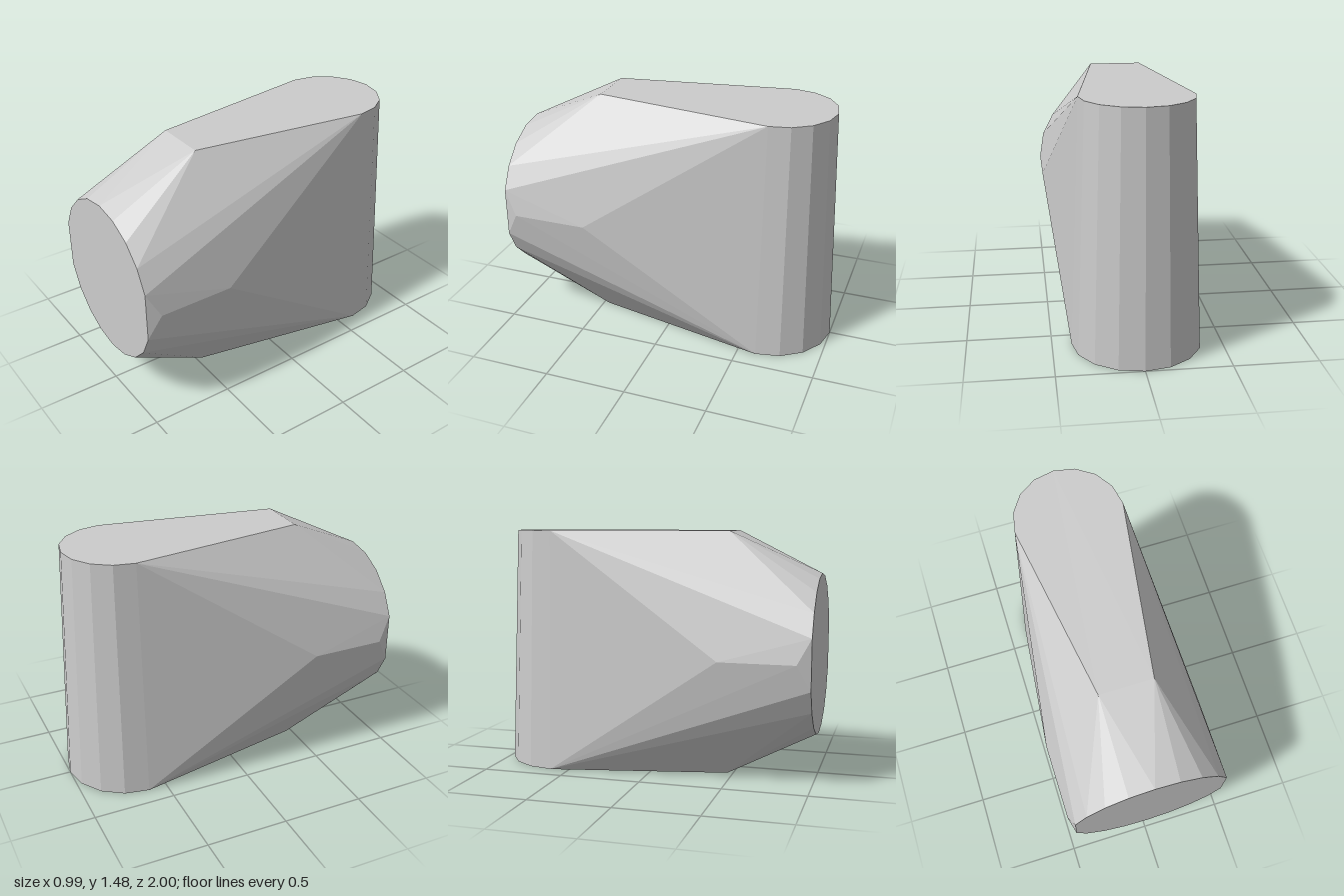
import * as THREE from 'three';
import { ConvexGeometry } from 'three/addons/geometries/ConvexGeometry.js';

export function createModel() {
  const group = new THREE.Group();
  const points = [];
  const add = (x, y, z) => points.push(new THREE.Vector3(x, y, z));
  const midY = 0.74;

  // Front disc: a 20-sided circle whose two outermost corners are set back
  for (let i = 0; i < 20; i++) {
    const a = (i / 20) * Math.PI * 2;
    const outermost = i % 10 === 5;
    add(Math.sin(a) * (outermost ? 0.495 : 0.49), midY + Math.cos(a) * 0.488, outermost ? 0.92 : 1);
  }

  // Top and bottom plates: narrow front edge, half-round back
  const addPlate = (y, radius, backZ) => {
    for (const side of [-1, 1]) add(side * 0.16, y, 0.465);
    for (let i = 0; i <= 8; i++) {
      const a = (i / 8) * Math.PI;
      add(Math.cos(a) * radius, y, backZ + radius - Math.sin(a) * radius);
    }
  };
  addPlate(1.48, 0.328, -0.945);
  addPlate(0, 0.385, -1);

  // Widest corner of each flank
  for (const side of [-1, 1]) add(side * 0.495, midY, 0.465);

  const body = new THREE.Mesh(
    new ConvexGeometry(points),
    new THREE.MeshStandardMaterial({ color: 0xcccccc, flatShading: true })
  );
  body.name = 'taperedBody';
  group.add(body);
  return group;
}
